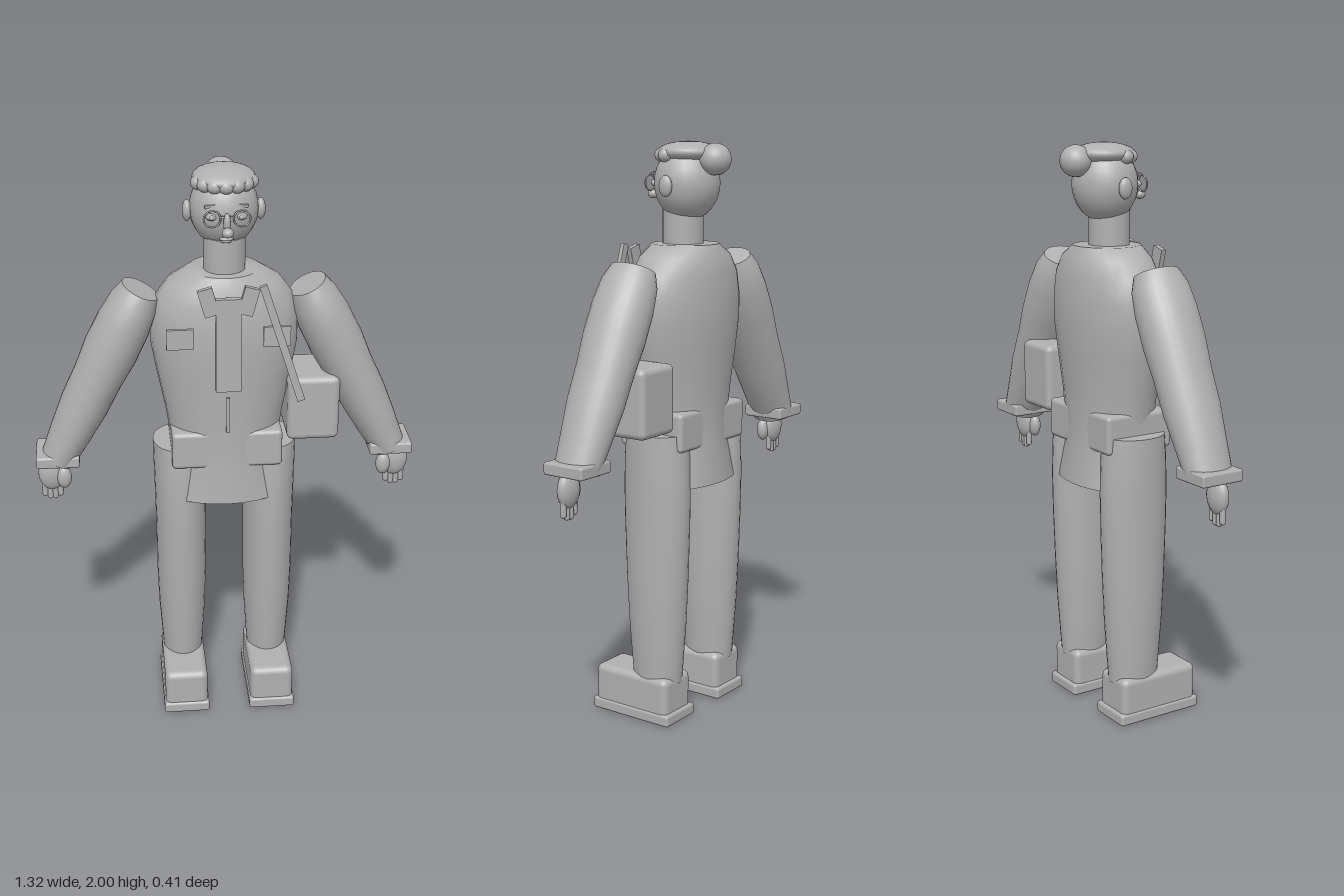
import * as THREE from 'three';
import { mergeVertices, toCreasedNormals } from 'three/addons/utils/BufferGeometryUtils.js';
import { RoundedBoxGeometry } from 'three/addons/geometries/RoundedBoxGeometry.js';

// Capped elliptical loft; each ring is [y, radiusX, radiusZ, centreZ], listed from top to bottom
function loft(rings, sides = 28) {
  const geo = new THREE.CylinderGeometry(1, 1, 1, sides, rings.length - 1);
  const p = geo.attributes.position;
  for (let i = 0; i < p.count; i++) {
    const [y, rx, rz, cz = 0] = rings[Math.round((0.5 - p.getY(i)) * (rings.length - 1))];
    p.setXYZ(i, p.getX(i) * rx, y, p.getZ(i) * rz + cz);
  }
  geo.deleteAttribute('uv');
  geo.deleteAttribute('normal');
  return toCreasedNormals(mergeVertices(geo), 0.75);
}

export function createModel() {
  const model = new THREE.Group();
  model.name = 'figure';
  const grey = new THREE.MeshStandardMaterial({ color: 0xb0b0b0 });
  grey.name = 'plain grey';

  const add = (name, geo, x = 0, y = 0, z = 0, rotZ = 0) => {
    const mesh = new THREE.Mesh(geo, grey);
    mesh.name = name;
    mesh.position.set(x, y, z);
    mesh.rotation.z = rotZ;
    model.add(mesh);
    return mesh;
  };
  const box = (w, h, d) => new THREE.BoxGeometry(w, h, d);
  const rounded = (w, h, d, r) => new RoundedBoxGeometry(w, h, d, 3, r);
  const ball = (rx, ry, rz) => new THREE.SphereGeometry(1, 24, 16).scale(rx, ry, rz);

  // Jacket with flared hem
  add('jacket', loft([
    [1.66, 0.12, 0.115, -0.03],
    [1.62, 0.19, 0.135, -0.03],
    [1.56, 0.235, 0.147, -0.028],
    [1.48, 0.25, 0.155, -0.026],
    [1.4, 0.25, 0.156, -0.025],
    [1.3, 0.233, 0.15, -0.024],
    [1.16, 0.205, 0.142, -0.02],
    [1.05, 0.188, 0.138, -0.02],
    [0.97, 0.185, 0.141, -0.02],
    [0.84, 0.235, 0.152, -0.022],
  ]));
  add('belt', rounded(0.38, 0.135, 0.26, 0.015), 0, 1.04, -0.02);

  // Jacket front
  add('placket', box(0.084, 0.33, 0.02), 0, 1.445, 0.135);
  add('zip', box(0.012, 0.13, 0.012), 0, 1.185, 0.126);

  // Shoulder bag
  add('bagStrap', box(0.026, 0.435, 0.015), 0.178, 1.448, 0.145, 0.31);
  add('bag', rounded(0.18, 0.235, 0.22, 0.022), 0.3, 1.167, -0.032);

  // Head, hair and face
  add('neck', new THREE.CylinderGeometry(0.07, 0.07, 0.15, 28), 0, 1.7, -0.02);
  add('head', ball(0.114, 0.128, 0.112), 0, 1.863, -0.037);
  add('hair', ball(0.104, 0.037, 0.108), 0, 1.964, -0.042);
  add('hairBun', ball(0.056, 0.053, 0.053), 0, 1.942, -0.152);
  for (let i = 0; i < 7; i++) {
    const a = (i / 3 - 1) * 1.2;
    add('curl', ball(0.027, 0.024, 0.026), Math.sin(a) * 0.09, 1.955, -0.04 + Math.cos(a) * 0.085);
  }
  add('noseBridge', ball(0.012, 0.035, 0.018), 0, 1.845, 0.083);
  add('noseTip', ball(0.019, 0.016, 0.02), 0, 1.822, 0.105);
  add('upperLip', ball(0.024, 0.006, 0.01), 0, 1.784, 0.053);
  add('lowerLip', ball(0.019, 0.006, 0.01), 0, 1.776, 0.051);
  add('glassesBridge', box(0.045, 0.006, 0.006), 0, 1.868, 0.084);

  for (const s of [1, -1]) {
    // Face pairs
    add('ear', ball(0.016, 0.036, 0.025), s * 0.121, 1.855, -0.035);
    add('eye', ball(0.019, 0.012, 0.012), s * 0.048, 1.862, 0.061);
    add('pupil', ball(0.008, 0.008, 0.006), s * 0.048, 1.862, 0.071);
    add('eyebrow', box(0.042, 0.008, 0.012), s * 0.05, 1.897, 0.057, -s * 0.15);
    add('glassesRim', new THREE.TorusGeometry(0.027, 0.003, 8, 24), s * 0.048, 1.862, 0.083);

    // Collar and chest pockets
    add('collar', box(0.05, 0.095, 0.018), s * 0.066, 1.6, 0.135, -s * 0.27);
    add('chestPocket', box(0.09, 0.07, 0.012), s * 0.16, 1.475, 0.14);

    // Sleeve, cuff and hand
    add('sleeve', loft([
      [0, 0.066, 0.08],
      [-0.05, 0.082, 0.1],
      [-0.13, 0.092, 0.108],
      [-0.24, 0.094, 0.108],
      [-0.34, 0.086, 0.102],
      [-0.46, 0.084, 0.1],
      [-0.58, 0.073, 0.09],
      [-0.685, 0.061, 0.083],
    ]), s * 0.28, 1.592, -0.022, s * 0.456);
    add('cuff', rounded(0.15, 0.042, 0.16, 0.008), s * 0.583, 0.988, -0.025);
    add('palm', ball(0.047, 0.062, 0.028), s * 0.608, 0.918, -0.008);
    add('thumb', ball(0.026, 0.042, 0.022), s * 0.565, 0.91, 0.008);
    for (let i = 0; i < 4; i++) {
      const length = i === 0 || i === 3 ? 0.045 : 0.055;
      add('finger', new THREE.CapsuleGeometry(0.0105, length, 4, 10),
        s * (0.581 + i * 0.018), 0.883 - length / 2, -0.008);
    }

    // Trouser leg and shoe
    add('trouserLeg', loft([
      [1.03, 0.094, 0.112],
      [0.95, 0.093, 0.12],
      [0.84, 0.091, 0.125],
      [0.7, 0.089, 0.123],
      [0.52, 0.089, 0.116],
      [0.36, 0.085, 0.108],
      [0.22, 0.076, 0.098],
      [0.14, 0.071, 0.092],
    ]), s * 0.157, 0, -0.025);
    add('shoe', rounded(0.155, 0.15, 0.31, 0.024), s * 0.157, 0.092, 0.042);
    add('sole', rounded(0.165, 0.042, 0.33, 0.01), s * 0.157, 0.021, 0.04);
  }
  return model;
}
